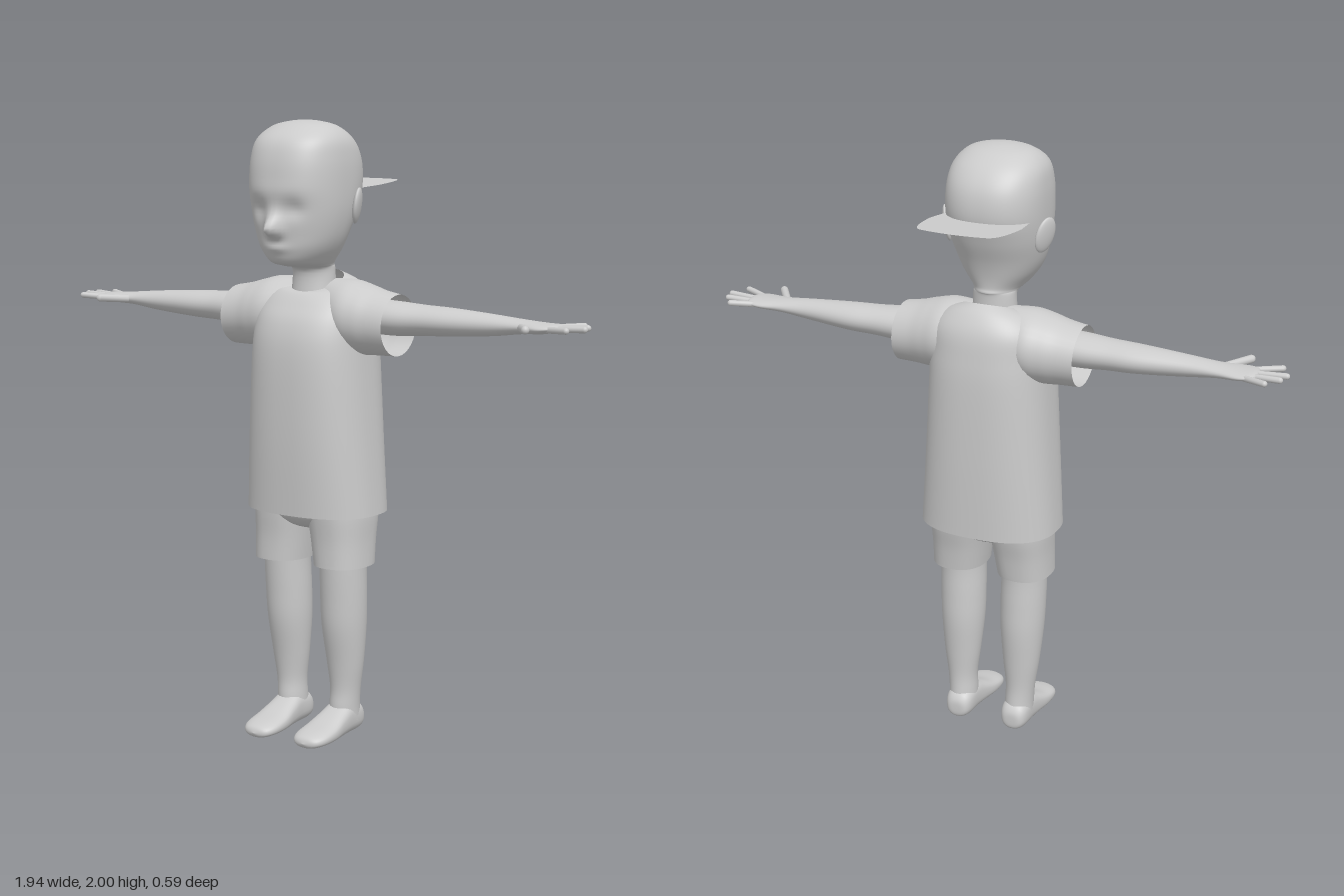
import * as THREE from 'three';

const material = new THREE.MeshStandardMaterial({ color: 0xcccccc, side: THREE.DoubleSide });

// How ring offsets (a, b) and travel t map to x, y, z for each loft direction
const AXES = {
  x: (t, a, b) => [t, b, a],
  y: (t, a, b) => [a, t, b],
  z: (t, a, b) => [b, a, t],
};

function mesh(name, geometry) {
  const m = new THREE.Mesh(geometry, material);
  m.name = name;
  return m;
}

// Smooth skin over superellipse rings: [t, centreA, centreB, radiusA, radiusB, power, tilt]
function loft(name, axis, rows, { segments = 32, steps = 5, warp } = {}) {
  const full = rows.map(([t, ca, cb, ra, rb, n = 2, tilt = 0]) => [t, ca, cb, ra, rb, n, tilt]);
  const rings = [];
  for (let i = 0; i < full.length - 1; i++) {
    const p1 = full[i], p2 = full[i + 1];
    const p0 = full[i - 1] ?? p1, p3 = full[i + 2] ?? p2;
    for (let s = 0; s < steps; s++) {
      const u = s / steps;
      rings.push(p1.map((v, k) => v + 0.5 * u * (p2[k] - p0[k]
        + u * (2 * p0[k] - 5 * v + 4 * p2[k] - p3[k] + u * (3 * (v - p2[k]) + p3[k] - p0[k])))));
    }
  }
  rings.push(full.at(-1));

  const positions = [], index = [];
  const power = (v, n) => Math.sign(v) * Math.abs(v) ** (2 / n);
  rings.forEach(([t, ca, cb, ra, rb, n, tilt], r) => {
    for (let j = 0; j < segments; j++) {
      const angle = (j / segments) * Math.PI * 2;
      const a = ca + Math.max(ra, 0) * power(Math.cos(angle), n);
      const b = cb + Math.max(rb, 0) * power(Math.sin(angle), n);
      const p = AXES[axis](t + tilt * b, a, b);
      if (warp) warp(p);
      positions.push(...p);
      if (r === rings.length - 1) continue;
      const k = (j + 1) % segments;
      const low = r * segments, high = low + segments;
      index.push(low + j, high + j, low + k, low + k, high + j, high + k);
    }
  });
  const g = new THREE.BufferGeometry();
  g.setAttribute('position', new THREE.Float32BufferAttribute(positions, 3));
  g.setIndex(index);
  g.computeVertexNormals();
  return mesh(name, g);
}

// Rounded finger between two points
function finger(name, from, to, radius) {
  const a = new THREE.Vector3(...from), b = new THREE.Vector3(...to);
  const dir = b.clone().sub(a);
  const g = new THREE.CapsuleGeometry(radius, dir.length() - radius, 5, 12);
  g.applyQuaternion(new THREE.Quaternion().setFromUnitVectors(new THREE.Vector3(0, 1, 0), dir.normalize()));
  const mid = a.add(b).multiplyScalar(0.5);
  return mesh(name, g.translate(mid.x, mid.y, mid.z));
}

// Copy of a part reflected in x, with its faces turned back outwards
function mirrored(part) {
  const g = part.geometry.clone().scale(-1, 1, 1);
  const ix = g.index.array;
  for (let i = 0; i < ix.length; i += 3) [ix[i], ix[i + 1]] = [ix[i + 1], ix[i]];
  g.computeVertexNormals();
  return mesh(part.name.replace('left', 'right'), g);
}

const bump = (d, w) => Math.exp(-((d / w) ** 2));

// Nose, eye sockets, lips and chin pushed out of the plain head
function shapeFace(p) {
  const [x, y, z] = p;
  if (z < 0.1) return;
  const nose = bump(y - 1.662, y > 1.662 ? 0.045 : 0.02) * bump(x, 0.026);
  const sockets = bump(y - 1.728, 0.03) * bump(Math.abs(x) - 0.065, 0.035);
  const lips = bump(y - 1.605, 0.014) * bump(x, 0.04);
  const brow = bump(y - 1.78, 0.03) * bump(x, 0.1);
  p[2] += 0.055 * nose - 0.014 * sockets + 0.008 * lips + 0.004 * brow;
}

function headParts() {
  const head = loft('head', 'y', [
    [1.45, 0, 0.03, 0.075, 0.065],
    [1.53, 0, 0.03, 0.07, 0.066],
    [1.545, 0, 0.06, 0.074, 0.1],
    [1.56, 0, 0.088, 0.088, 0.125, 2.1],
    [1.60, 0, 0.094, 0.118, 0.138, 2.2],
    [1.65, 0, 0.09, 0.14, 0.15, 2.2],
    [1.72, 0, 0.08, 0.155, 0.17, 2.3],
    [1.80, 0, 0.072, 0.16, 0.186, 2.4],
    [1.88, 0, 0.072, 0.158, 0.178, 2.4],
    [1.94, 0, 0.078, 0.145, 0.147, 2.3],
    [1.98, 0, 0.078, 0.107, 0.092, 2.1],
    [1.996, 0, 0.078, 0.05, 0.042],
    [2.0, 0, 0.078, 0, 0],
  ], { segments: 96, steps: 6, warp: shapeFace });

  const earGeometry = new THREE.SphereGeometry(1, 20, 14);
  earGeometry.scale(0.013, 0.058, 0.04).rotateX(0.2).rotateZ(-0.15).rotateY(0.4).translate(0.167, 1.735, 0.033);
  const ear = mesh('leftEar', earGeometry);

  // Backward cap brim
  const shape = new THREE.Shape();
  shape.moveTo(-0.14, 0.02);
  shape.lineTo(-0.153, 0.12);
  shape.bezierCurveTo(-0.15, 0.2, -0.14, 0.27, -0.11, 0.28);
  shape.quadraticCurveTo(0, 0.307, 0.11, 0.28);
  shape.bezierCurveTo(0.14, 0.27, 0.15, 0.2, 0.153, 0.12);
  shape.lineTo(0.14, 0.02);
  const brim = mesh('capBrim', new THREE.ShapeGeometry(shape, 12)
    .rotateX(-Math.PI / 2 + 0.07).translate(0, 1.785, 0));
  return [head, ear, mirrored(ear), brim];
}

// Left sleeve, arm and hand
function armParts() {
  const sleeve = loft('leftSleeve', 'x', [
    [0.06, 0.0, 1.4, 0.09, 0.1],
    [0.14, 0.005, 1.385, 0.125, 0.115],
    [0.2, 0.01, 1.376, 0.12, 0.111],
    [0.25, 0.012, 1.37, 0.11, 0.103],
    [0.31, 0.013, 1.365, 0.104, 0.097],
  ]);
  const arm = loft('leftArm', 'x', [
    [0.2, 0.01, 1.39, 0.075, 0.055],
    [0.31, 0.01, 1.387, 0.075, 0.054],
    [0.4, 0.007, 1.387, 0.067, 0.048],
    [0.5, 0.005, 1.387, 0.063, 0.044],
    [0.65, 0.007, 1.388, 0.046, 0.033],
    [0.75, 0.006, 1.39, 0.045, 0.022],
    [0.82, 0.01, 1.39, 0.058, 0.017],
    [0.86, 0.008, 1.393, 0.052, 0.012],
    [0.875, 0.005, 1.393, 0.03, 0.007],
    [0.878, 0.005, 1.393, 0, 0],
  ]);
  const tips = [
    ['leftLittleFinger', [0.84, -0.032], [0.92, -0.07]],
    ['leftRingFinger', [0.85, -0.01], [0.955, -0.022]],
    ['leftMiddleFinger', [0.85, 0.017], [0.965, 0.02]],
    ['leftIndexFinger', [0.84, 0.042], [0.935, 0.083]],
    ['leftThumb', [0.76, 0.04], [0.822, 0.128]],
  ];
  return [sleeve, arm, ...tips.map(([name, [x, z], [tx, tz]]) =>
    finger(name, [x, 1.39, z], [tx, 1.396, tz], name === 'leftThumb' ? 0.013 : 0.01))];
}

// Left shorts leg, bare leg and foot
function legParts() {
  const shorts = loft('leftShortsLeg', 'y', [
    [0.58, 0.116, 0.025, 0.09, 0.105, 2.3],
    [0.66, 0.11, 0.02, 0.094, 0.112, 2.4],
    [0.74, 0.105, 0.015, 0.1, 0.125, 2.4],
    [0.8, 0.1, 0.015, 0.1, 0.13, 2.4],
  ]);
  const leg = loft('leftLeg', 'y', [
    [0.05, 0.103, 0.0, 0.048, 0.06],
    [0.1, 0.104, 0.003, 0.048, 0.056],
    [0.16, 0.107, 0.003, 0.05, 0.052],
    [0.25, 0.108, 0.006, 0.062, 0.06],
    [0.37, 0.108, 0.013, 0.073, 0.075],
    [0.47, 0.109, 0.018, 0.076, 0.078],
    [0.58, 0.11, 0.023, 0.076, 0.08],
    [0.7, 0.108, 0.02, 0.08, 0.09],
  ]);
  // Foot rings run heel to toe: [z, y, x, half height, half width]
  const foot = loft('leftFoot', 'z', [
    [-0.07, 0.045, 0.102, 0, 0],
    [-0.066, 0.046, 0.102, 0.03, 0.03, 2.3],
    [-0.04, 0.055, 0.102, 0.048, 0.046, 2.5],
    [0.02, 0.059, 0.102, 0.054, 0.05, 2.6],
    [0.07, 0.049, 0.101, 0.044, 0.055, 2.6],
    [0.13, 0.036, 0.1, 0.031, 0.062, 2.6],
    [0.19, 0.029, 0.099, 0.024, 0.06, 2.4],
    [0.225, 0.024, 0.098, 0.017, 0.04, 2.2],
    [0.236, 0.022, 0.098, 0, 0],
  ]);
  return [shorts, leg, foot];
}

export function createModel() {
  const group = new THREE.Group();
  group.name = 'boy';

  // Shirt body, open at hem and collar, with the collar dipping at the front
  const shirt = loft('shirt', 'y', [
    [0.75, 0, 0.01, 0.232, 0.172, 2.5],
    [1.0, 0, 0.015, 0.215, 0.182, 2.5],
    [1.25, 0, 0.017, 0.2, 0.183, 2.5],
    [1.36, 0, 0.012, 0.195, 0.17, 2.4],
    [1.43, 0, 0.0, 0.185, 0.145, 2.3, -0.05],
    [1.475, 0, 0.0, 0.145, 0.114, 2.1, -0.15],
    [1.495, 0, 0.01, 0.085, 0.085, 2, -0.35],
  ], { segments: 64 });

  // Seat of the shorts bridging both legs
  const seat = loft('shortsSeat', 'y', [
    [0.69, 0, 0.012, 0, 0],
    [0.695, 0, 0.012, 0.06, 0.07],
    [0.72, 0, 0.014, 0.15, 0.11, 2.4],
    [0.76, 0, 0.015, 0.2, 0.13, 2.5],
    [0.85, 0, 0.015, 0.19, 0.14, 2.5],
  ], { segments: 48 });

  group.add(...headParts(), shirt, seat);
  for (const part of [...armParts(), ...legParts()]) group.add(part, mirrored(part));
  return group;
}
